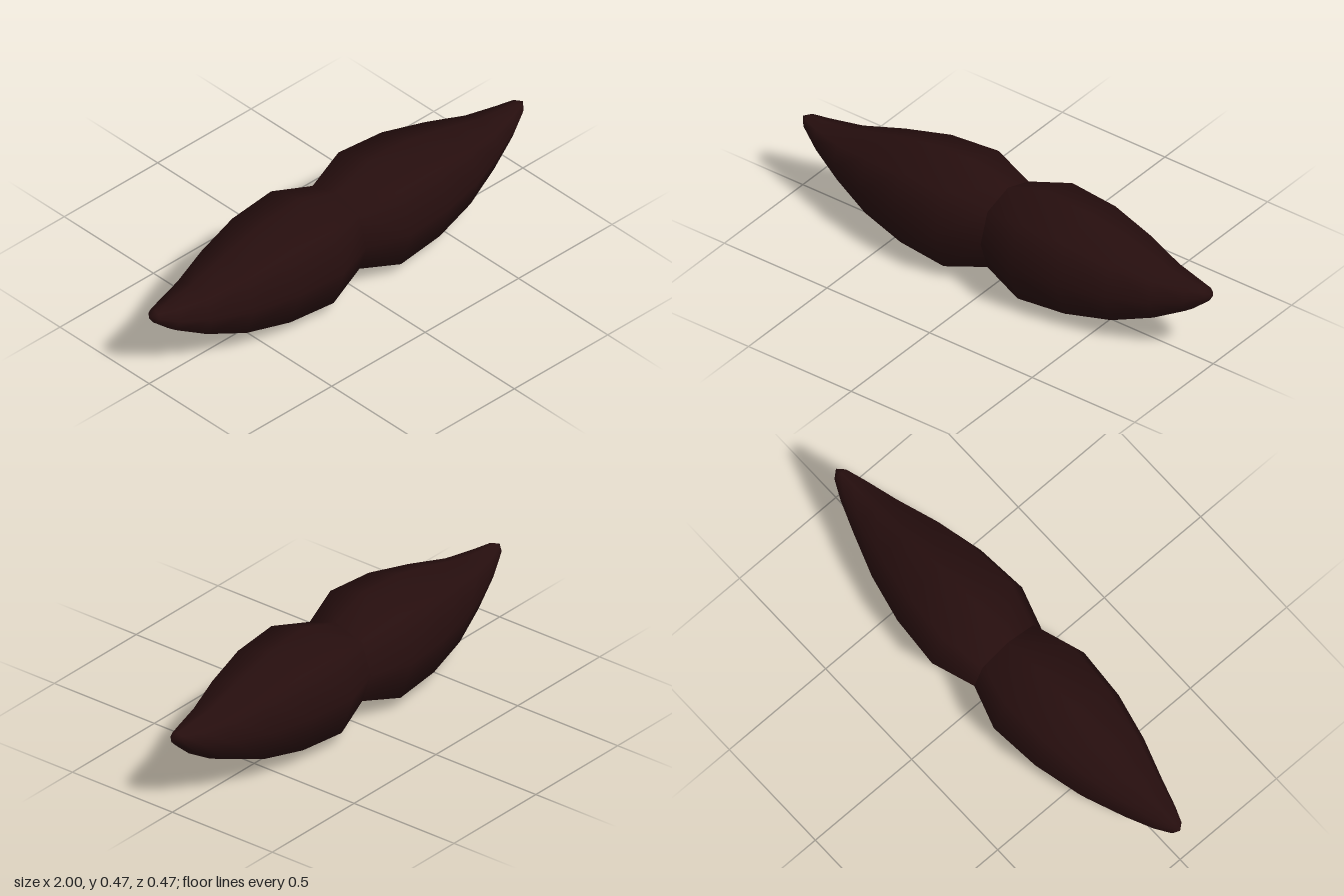
import * as THREE from 'three';

const SIDES = 8;
// Rings from the middle to the end: [top x, top y, bottom x, bottom y, half depth]
const RINGS = [
  [0, 0.41, 0, 0.065, 0.175],
  [0.18, 0.469, 0.18, 0.002, 0.234],
  [0.4, 0.455, 0.4, 0.02, 0.217],
  [0.6, 0.408, 0.6, 0.066, 0.17],
  [0.77, 0.36, 0.77, 0.14, 0.11],
  [0.9, 0.345, 0.9, 0.22, 0.064],
  [0.97, 0.342, 0.98, 0.29, 0.03],
];
const TIP = [1, 0.327, 0];

// One tapering, upturned half; side is +1 or -1 along x
function halfGeometry(side) {
  const pos = [], index = [];
  const face = (a, b, c) => (side > 0 ? index.push(a, b, c) : index.push(a, c, b));
  for (const [tx, ty, bx, by, depth] of RINGS) {
    for (let i = 0; i < SIDES; i++) {
      const a = (i / SIDES) * Math.PI * 2;
      const k = i % 2 ? 1.06 : 1; // slightly full diagonals
      const v = Math.cos(a) * k, w = Math.sin(a) * k;
      pos.push(side * ((tx + bx) / 2 + (v * (tx - bx)) / 2), (ty + by) / 2 + (v * (ty - by)) / 2, w * depth);
    }
  }
  pos.push(side * TIP[0], TIP[1], TIP[2]);
  const tip = RINGS.length * SIDES;
  for (let r = 0; r < RINGS.length; r++) {
    for (let i = 0; i < SIDES; i++) {
      const j = (i + 1) % SIDES;
      const a = r * SIDES + i, b = r * SIDES + j;
      if (r === RINGS.length - 1) {
        face(a, b, tip);
      } else {
        face(a, b, b + SIDES);
        face(a, b + SIDES, a + SIDES);
      }
    }
  }
  const g = new THREE.BufferGeometry();
  g.setAttribute('position', new THREE.Float32BufferAttribute(pos, 3));
  g.setIndex(index);
  g.computeVertexNormals();
  return g;
}

export function createModel() {
  const group = new THREE.Group();
  group.name = 'moustache';
  const hair = new THREE.MeshStandardMaterial({ color: 0x260e0e });
  hair.name = 'dark brown hair';
  // Separate halves keep the crease in the middle sharp
  for (const [name, side] of [['leftHalf', 1], ['rightHalf', -1]]) {
    const mesh = new THREE.Mesh(halfGeometry(side), hair);
    mesh.name = name;
    group.add(mesh);
  }
  return group;
}
